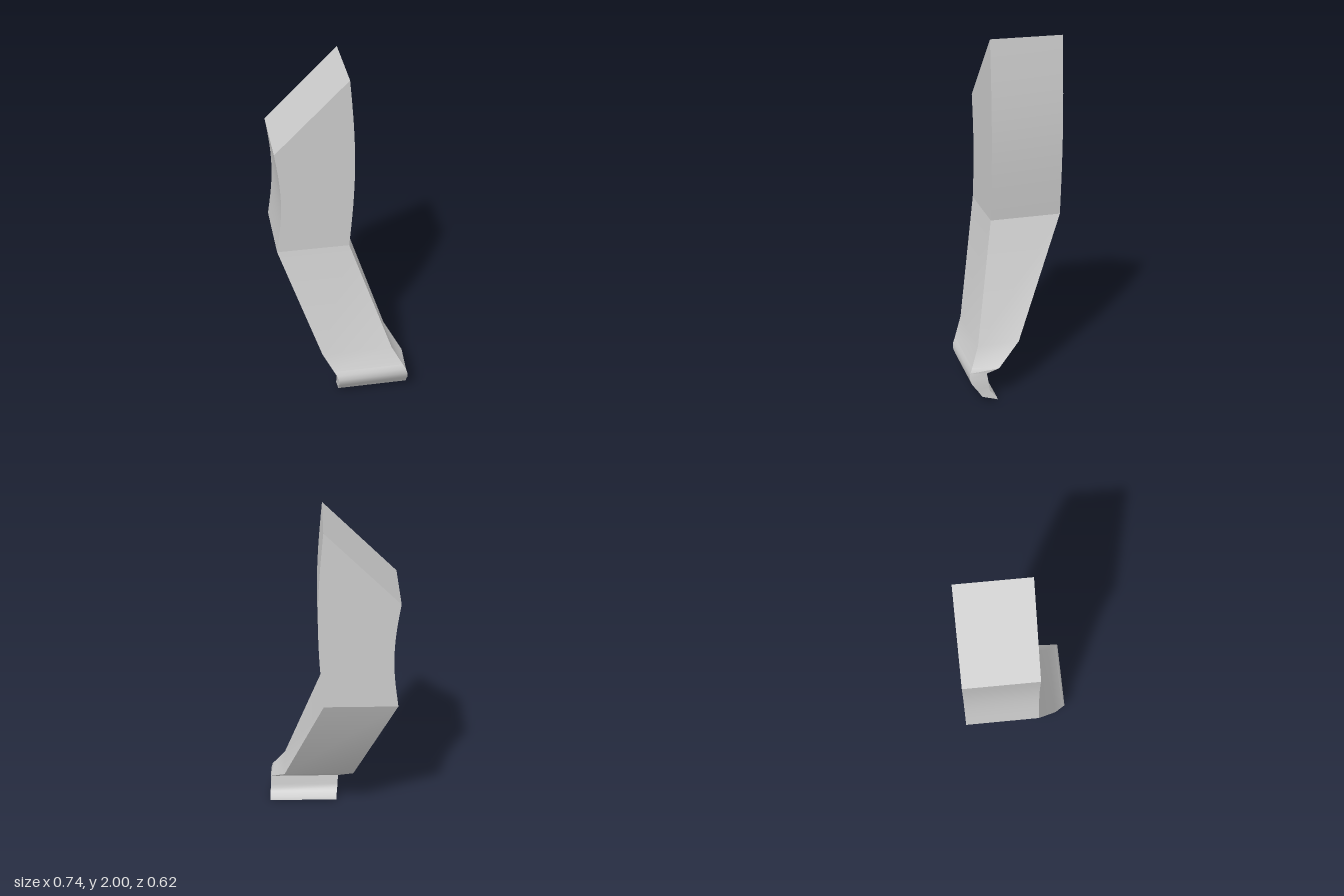
import * as THREE from 'three';
import { toCreasedNormals } from 'three/addons/utils/BufferGeometryUtils.js';

const WIDTH = 0.41;
const material = new THREE.MeshStandardMaterial({ color: 0xcccccc, side: THREE.DoubleSide });

// Skin four-cornered rings, listed from top to bottom; corners run
// front right, front left, back left, back right.
function loft(name, rings, { top = false, bottom = false } = {}) {
  const index = [];
  for (let i = 0; i < rings.length - 1; i++) {
    for (let k = 0; k < 4; k++) {
      const a = i * 4 + k, b = i * 4 + (k + 1) % 4, c = a + 4, d = b + 4;
      index.push(c, d, b, c, b, a);
    }
  }
  if (top) index.push(0, 1, 2, 0, 2, 3);
  const e = (rings.length - 1) * 4;
  if (bottom) index.push(e, e + 2, e + 1, e, e + 3, e + 2);
  const geometry = new THREE.BufferGeometry();
  geometry.setAttribute('position', new THREE.Float32BufferAttribute(rings.flat(2), 3));
  geometry.setIndex(index);
  const mesh = new THREE.Mesh(toCreasedNormals(geometry, 0.6), material);
  mesh.name = name;
  return mesh;
}

// Ring of constant width from its front and back edges, each [x, y, z]
const ring = ([fx, fy, fz], [bx, by, bz]) => [
  [fx, fy, fz], [fx + WIDTH, fy, fz], [bx + WIDTH, by, bz], [bx, by, bz],
];

export function createModel() {
  const group = new THREE.Group();
  group.name = 'leg';

  // Upper leg: slanted top and gently bowed sides
  const upper = [];
  const steps = 16;
  for (let i = 0; i <= steps; i++) {
    const t = 1 - i / steps;
    const x = -0.37 + 0.03 * Math.sin(Math.PI * t);
    const yr = 0.96 + 0.63 * t, yl = 0.96 + 1.04 * t;
    upper.push([
      [x, yr, 0.1], [x + WIDTH, yl, 0.1], [x + WIDTH, yl, -0.31], [x, yr, -0.31],
    ]);
  }
  group.add(loft('upperLeg', upper, { top: true }));

  // Lower leg: leans sideways and forward while its depth tapers
  const ankle = ring([-0.08, 0.2, 0.29], [-0.055, 0.19, 0.14]);
  group.add(loft('lowerLeg', [
    ring([-0.37, 0.96, 0.1], [-0.37, 0.96, -0.31]),
    ring([-0.14, 0.3, 0.24], [-0.14, 0.3, 0]),
    ankle,
  ]));

  // Foot: rounded front, hollow back and a thin lip turned backward
  group.add(loft('foot', [
    ankle,
    ring([-0.063, 0.175, 0.305], [-0.06, 0.165, 0.21]),
    ring([-0.055, 0.145, 0.31], [-0.055, 0.135, 0.205]),
    ring([-0.05, 0.11, 0.298], [-0.05, 0.085, 0.2]),
    ring([-0.05, 0.07, 0.268], [-0.05, 0.06, 0.195]),
    ring([-0.047, 0.028, 0.24], [-0.047, 0.045, 0.182]),
    ring([-0.045, 0, 0.15], [-0.045, 0.018, 0.157]),
  ], { bottom: true }));

  return group;
}
